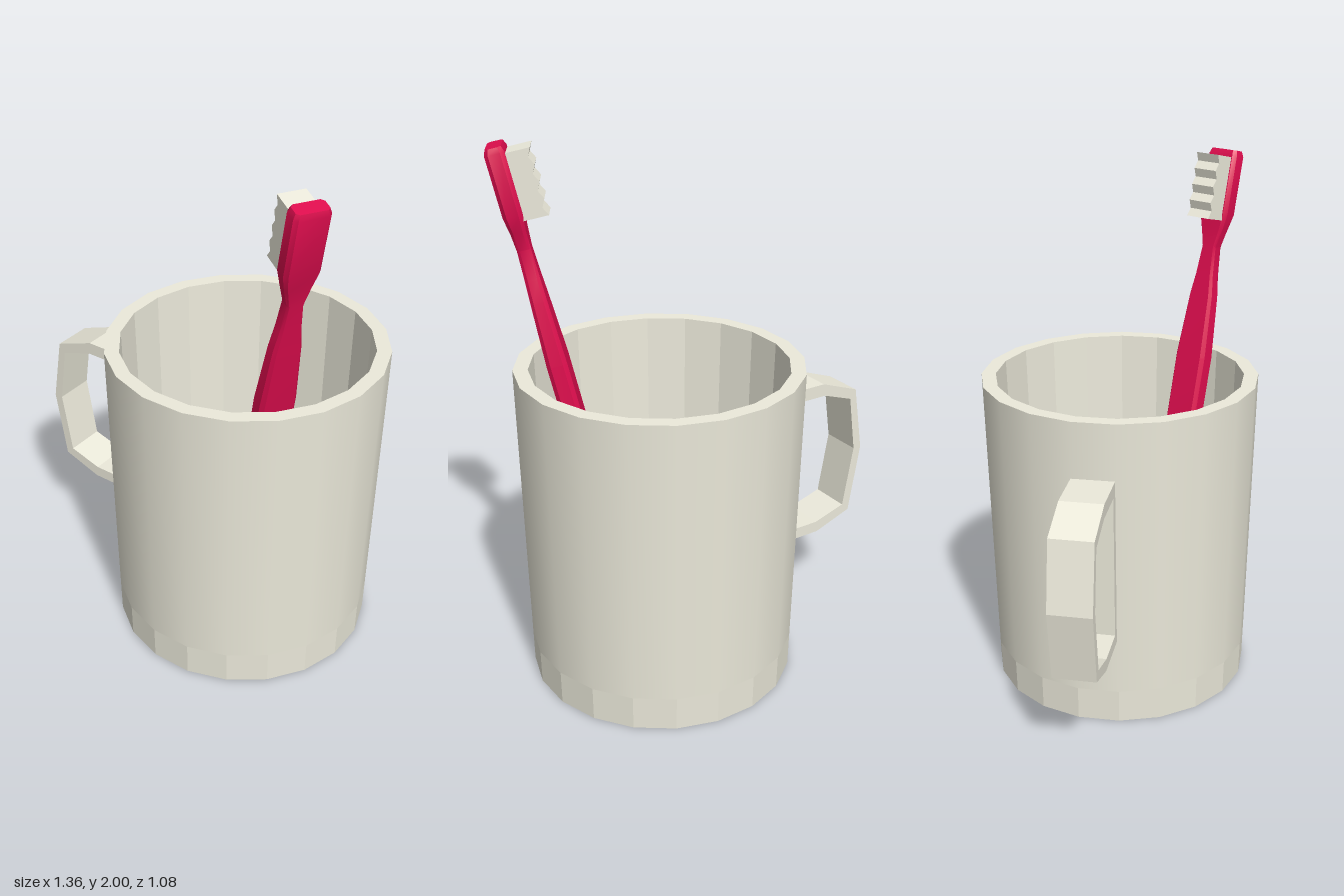
import * as THREE from 'three';
import { toCreasedNormals } from 'three/addons/utils/BufferGeometryUtils.js';

const cream = new THREE.MeshStandardMaterial({ color: 0xeceadb });
const creamFlat = new THREE.MeshStandardMaterial({ color: 0xeceadb, flatShading: true });
const red = new THREE.MeshStandardMaterial({ color: 0xdf0d4e });

const points = (list) => list.map(([x, y]) => new THREE.Vector2(x, y));

function addMesh(parent, name, geometry, material) {
  const mesh = new THREE.Mesh(geometry, material);
  mesh.name = name;
  parent.add(mesh);
  return mesh;
}

// Twenty-sided surface of revolution
const turned = (list) => new THREE.LatheGeometry(points(list), 20);

// Flat outline extruded symmetrically about z = 0
function slab(outline, depth, hole) {
  const shape = new THREE.Shape(points(outline));
  if (hole) shape.holes.push(new THREE.Path(points(hole)));
  return new THREE.ExtrudeGeometry(shape, { depth, bevelEnabled: false }).translate(0, 0, -depth / 2);
}

// Chamfered rectangular sections [height, width, thickness] joined along y
function loft(sections) {
  const corners = [[1, -0.6], [1, 0.6], [0.82, 1], [-0.82, 1], [-1, 0.6], [-1, -0.6], [-0.82, -1], [0.82, -1]];
  const n = corners.length;
  const positions = [];
  const index = [];
  sections.forEach(([y, w, t], r) => {
    corners.forEach(([x, z], i) => {
      positions.push((x * w) / 2, y, (z * t) / 2);
      if (r === 0) return;
      const a = (r - 1) * n + i;
      const b = (r - 1) * n + ((i + 1) % n);
      index.push(a, a + n, b, b, a + n, b + n);
    });
  });
  const geometry = new THREE.BufferGeometry();
  geometry.setAttribute('position', new THREE.Float32BufferAttribute(positions, 3));
  geometry.setIndex(index);
  return toCreasedNormals(geometry, 0.5);
}

function createCup() {
  const cup = new THREE.Group();
  cup.name = 'cup';
  cup.position.set(0.158, 0, -0.027);

  // Smooth outer wall above a faceted foot, thick rim and faceted inside
  const body = new THREE.Group();
  body.name = 'cupBody';
  body.rotation.y = 0.014;
  cup.add(body);
  addMesh(body, 'outerWall', turned([[0.5, 0.13], [0.523, 1.215]]), cream);
  addMesh(body, 'foot', turned([[0, 0], [0.497, 0], [0.5, 0.13]]), creamFlat);
  addMesh(body, 'rimAndInside', turned([[0.523, 1.215], [0.469, 1.215], [0.44, 0.11], [0, 0.11]]), creamFlat);

  // Angular closed-loop handle, x pointing away from the cup
  const outline = [
    [0.48, 0.35], [0.697, 0.35], [0.856, 0.405], [0.903, 0.68],
    [0.86, 0.94], [0.697, 1.0], [0.48, 1.0],
  ];
  const hole = [
    [0.53, 0.395], [0.69, 0.395], [0.825, 0.435], [0.868, 0.68],
    [0.835, 0.905], [0.705, 0.95], [0.545, 0.95],
  ];
  addMesh(cup, 'cupHandle', slab(outline, 0.158, hole), creamFlat).rotation.y = 2.672;
  return cup;
}

function createToothbrush() {
  // Leans against the rim, with the bristles facing back towards the cup axis
  const brush = new THREE.Group();
  brush.name = 'toothbrush';
  brush.position.set(0.158, 0.1, 0.1);
  brush.rotation.set(0.23, 0.57, 0, 'YXZ');

  // Handle, narrow neck and head
  addMesh(brush, 'brushBody', loft([
    [0.015, 0, 0], [0.015, 0.115, 0.055], [0.045, 0.135, 0.075],
    [1.14, 0.137, 0.075], [1.38, 0.105, 0.06], [1.46, 0.08, 0.055],
    [1.57, 0.06, 0.05], [1.64, 0.1, 0.055], [1.7, 0.13, 0.07],
    [1.92, 0.13, 0.07], [1.94, 0.115, 0.055], [1.94, 0, 0],
  ]), red);

  // Bristle block with a zigzag outer face
  const low = 1.675;
  const high = 1.913;
  const teeth = 4;
  const profile = [[0.02, low]];
  for (let i = 0; i <= teeth * 2; i++) {
    profile.push([i % 2 ? 0.105 : 0.12, low + ((high - low) * i) / (teeth * 2)]);
  }
  profile.push([0.02, high]);
  addMesh(brush, 'bristles', slab(profile, 0.1), creamFlat).rotation.y = Math.PI / 2;
  return brush;
}

export function createModel() {
  const model = new THREE.Group();
  model.name = 'cupWithToothbrush';
  model.add(createCup(), createToothbrush());
  return model;
}
